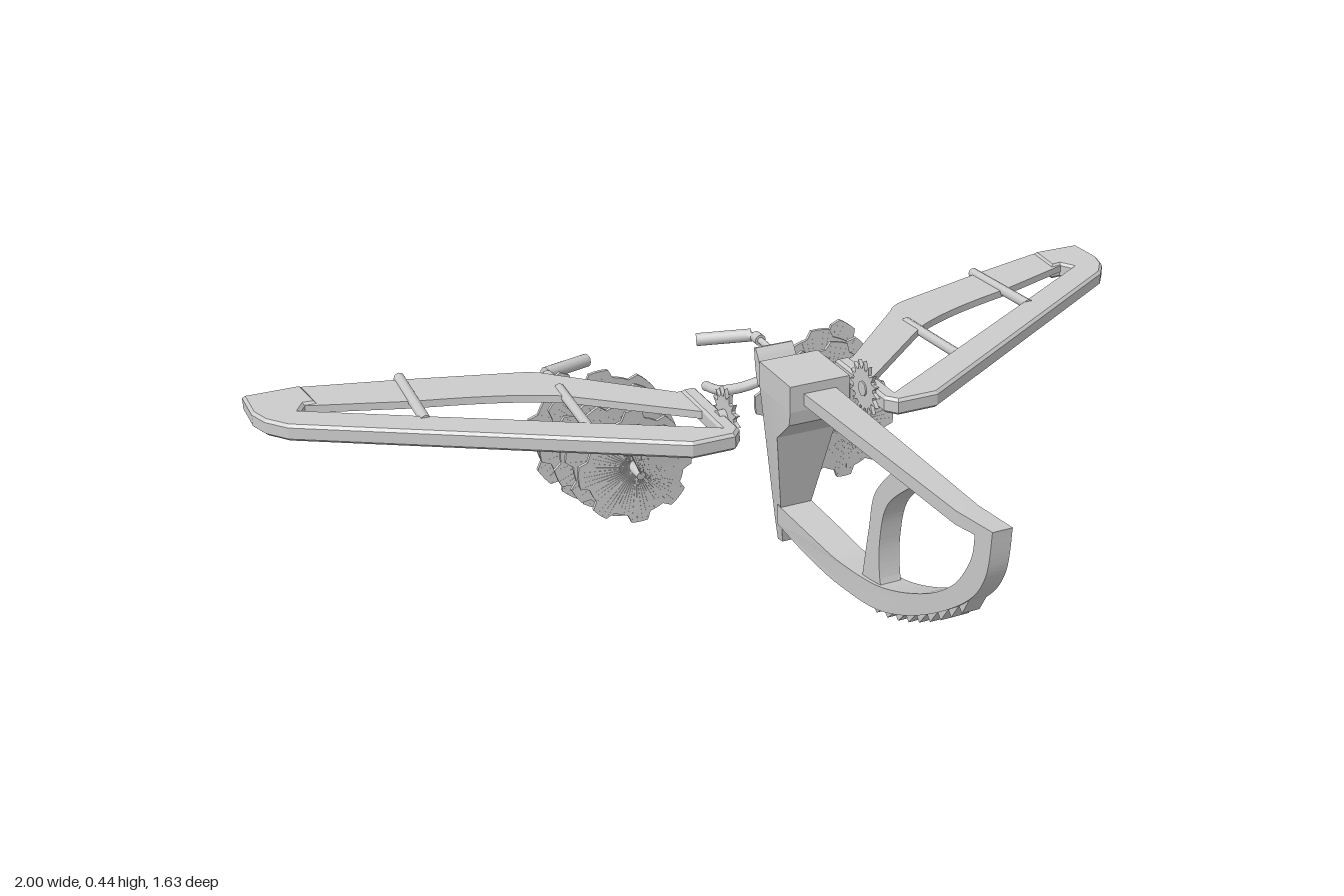
import * as THREE from 'three';
import { toCreasedNormals } from 'three/addons/utils/BufferGeometryUtils.js';

const grey = new THREE.MeshStandardMaterial({ color: 0xcccccc, side: THREE.DoubleSide });
const V3 = (x, y, z) => new THREE.Vector3(x, y, z);
const pts = (list) => list.map(([a, b]) => new THREE.Vector2(a, b));

function add(parent, name, geometry, x = 0, y = 0, z = 0) {
  const mesh = new THREE.Mesh(geometry, grey);
  mesh.name = name;
  mesh.position.set(x, y, z);
  parent.add(mesh);
  return mesh;
}

// Profile drawn in (z, y), one unit wide; half(y, z) gives the half width in x
function sideSlab(shape, half) {
  const geo = new THREE.ExtrudeGeometry(shape, { depth: 2, bevelEnabled: false, curveSegments: 28 });
  geo.translate(0, 0, -1).rotateY(-Math.PI / 2);
  const p = geo.attributes.position;
  for (let i = 0; i < p.count; i++) p.setX(i, p.getX(i) * half(p.getY(i), p.getZ(i)));
  return toCreasedNormals(geo, 0.5);
}

// Outline drawn in (x, z), hanging down from y = 0
function flatSlab(shape, depth, bevel = 0) {
  const geo = new THREE.ExtrudeGeometry(shape, {
    depth: depth - 2 * bevel, bevelEnabled: bevel > 0, bevelSize: bevel, bevelOffset: -bevel,
    bevelThickness: bevel, bevelSegments: 1, curveSegments: 16,
  });
  return geo.translate(0, 0, bevel).rotateX(Math.PI / 2);
}

// Cylinder between two points
function rod(parent, name, a, b, r, sides = 14) {
  const mesh = add(parent, name, new THREE.CylinderGeometry(r, r, a.distanceTo(b), sides));
  mesh.position.copy(a).lerp(b, 0.5);
  mesh.quaternion.setFromUnitVectors(V3(0, 1, 0), b.clone().sub(a).normalize());
}

function buildHull() {
  const hull = new THREE.Group();
  hull.name = 'hull';
  const hullHalf = (y, z) => 0.036 - 0.024 * Math.max(0, z - 0.14);

  // Open bow frame: top beam, curved stem and keel in one piece
  const frame = new THREE.Shape();
  frame.moveTo(0.1, 0.425).lineTo(0.7, 0.432).lineTo(0.815, 0.445);
  const outer = pts([[0.8, 0.35], [0.74, 0.27], [0.6, 0.17], [0.45, 0.1], [0.3, 0.075], [0.18, 0.072], [0.02, 0.08]]);
  frame.splineThru(outer);
  frame.lineTo(0.02, 0.125).lineTo(0.2, 0.125);
  frame.splineThru(pts([[0.3, 0.127], [0.45, 0.152], [0.6, 0.215], [0.7, 0.285], [0.752, 0.36], [0.762, 0.415]]));
  frame.lineTo(0.7, 0.405).lineTo(0.1, 0.4);
  add(hull, 'bowFrame', sideSlab(frame, hullHalf));

  // Curved rib inside the frame
  const rib = new THREE.Shape();
  rib.moveTo(0.55, 0.41);
  rib.splineThru(pts([[0.46, 0.33], [0.433, 0.243], [0.437, 0.16], [0.46, 0.12]]));
  rib.lineTo(0.365, 0.12);
  rib.splineThru(pts([[0.389, 0.243], [0.41, 0.33], [0.48, 0.41]]));
  add(hull, 'frameRib', sideSlab(rib, () => 0.022));

  // Overlapping steps along the lower bow
  const curve = new THREE.SplineCurve([new THREE.Vector2(0.81, 0.41), ...outer]);
  for (let i = 0; i < 9; i++) {
    const a = curve.getPointAt(0.16 + i * 0.047), b = curve.getPointAt(0.2 + i * 0.047);
    const step = new THREE.Shape([a, new THREE.Vector2(b.x + 0.006, b.y - 0.014), new THREE.Vector2(b.x - 0.012, b.y + 0.004), b]);
    add(hull, 'bowStep', sideSlab(step, () => 0.018));
  }

  // Head block and tapering stern post
  add(hull, 'headBlock', new THREE.BoxGeometry(0.13, 0.055, 0.14), 0, 0.4175, 0.07);
  const post = new THREE.Shape(pts([[0, 0.392], [0.14, 0.392], [0.135, 0.36], [0.08, 0.31], [0.012, 0.03], [-0.012, 0.025], [-0.008, 0.08]]));
  add(hull, 'sternPost', sideSlab(post, (y) => Math.min(0.065, 0.02 + (y - 0.03) * 0.16)));

  // Upturned catch behind the post
  const hook = new THREE.Shape();
  hook.moveTo(0, 0.375).lineTo(-0.035, 0.378);
  hook.quadraticCurveTo(-0.045, 0.42, -0.068, 0.443).lineTo(-0.074, 0.442);
  hook.quadraticCurveTo(-0.07, 0.385, -0.055, 0.362).lineTo(0, 0.36);
  add(hull, 'rearCatch', sideSlab(hook, (y, z) => (z > -0.03 ? 0.016 : 0.042)));
  return hull;
}

function buildWing() {
  const wing = new THREE.Group();
  wing.name = 'wing';

  // Root, leading spar and tip
  const spar = new THREE.Shape(pts([
    [0.16, -0.105], [0.16, 0.11], [0.18, 0.135], [0.27, 0.135], [0.95, -0.285], [0.985, -0.33], [1, -0.375],
    [1, -0.465], [0.88, -0.465], [0.87, -0.37], [0.895, -0.372], [0.91, -0.345], [0.69, -0.21], [0.41, -0.04], [0.193, 0.093], [0.193, -0.105],
  ]));
  add(wing, 'wingSpar', flatSlab(spar, 0.036, 0.006), 0, 0.367, 0);

  // Thin rear panel
  const panel = new THREE.Shape();
  panel.moveTo(0.185, -0.105).lineTo(0.2, -0.105).lineTo(0.4, -0.3);
  panel.quadraticCurveTo(0.42, -0.328, 0.46, -0.34).lineTo(0.69, -0.412);
  panel.lineTo(0.88, -0.465).lineTo(0.9, -0.372).lineTo(0.69, -0.295);
  panel.quadraticCurveTo(0.5, -0.245, 0.41, -0.185).lineTo(0.185, 0.01);
  add(wing, 'wingPanel', flatSlab(panel, 0.016), 0, 0.362, 0);

  // Cross ribs
  rod(wing, 'wingRib', V3(0.405, 0.356, -0.24), V3(0.418, 0.356, -0.02), 0.011, 8);
  rod(wing, 'wingRib', V3(0.687, 0.36, -0.425), V3(0.697, 0.36, -0.2), 0.012, 8);

  // Toothed pivot disc at the root
  const gear = [];
  for (let i = 0; i < 48; i++) {
    const r = i % 3 === 0 ? 0.06 : 0.042, a = (i / 48) * Math.PI * 2;
    gear.push([Math.cos(a) * r, Math.sin(a) * r]);
  }
  add(wing, 'pivotGear', sideSlab(new THREE.Shape(pts(gear)), () => 0.004), 0.155, 0.358, 0.037);
  rod(wing, 'pivotPin', V3(0.148, 0.358, 0.037), V3(0.175, 0.358, 0.037), 0.016);
  return wing;
}

// Toothed screw blade: a thin rectangle swept along a widening helix
function screwGeometry() {
  const turns = 5, perTurn = 64, n = turns * perTurn, pos = [], index = [];
  for (let i = 0; i <= n; i++) {
    const t = i / n, a = t * turns * Math.PI * 2 + 1.2;
    const tooth = ((i / perTurn) * 7.7) % 1 < 0.5 ? 0.018 : 0;
    const rim = 0.1 + 0.042 * t + tooth;
    const cx = 0.248 + 0.018 * t, cy = 0.138 + 0.023 * t, z = -0.2 - 0.23 * t;
    for (const [r, dz] of [[0.006, 0.004], [rim, 0.004], [rim, -0.004], [0.006, -0.004]]) {
      pos.push(cx + Math.cos(a) * r, cy + Math.sin(a) * r, z + dz);
    }
  }
  for (let i = 0; i < n; i++) {
    for (let k = 0; k < 4; k++) {
      const a = i * 4 + k, b = i * 4 + ((k + 1) % 4);
      index.push(a, b, a + 4, b, b + 4, a + 4);
    }
  }
  index.push(0, 2, 1, 0, 3, 2, n * 4, n * 4 + 1, n * 4 + 2, n * 4, n * 4 + 2, n * 4 + 3);
  const geo = new THREE.BufferGeometry();
  geo.setAttribute('position', new THREE.Float32BufferAttribute(pos, 3));
  geo.setIndex(index);
  return toCreasedNormals(geo, 0.6);
}

function buildScrew() {
  const screw = new THREE.Group();
  screw.name = 'screw';
  const x = 0.267, y = 0.161;
  add(screw, 'screwBlade', screwGeometry());

  // Shaft, collars and angled grip
  rod(screw, 'screwCore', V3(0.248, 0.138, -0.2), V3(x, y, -0.43), 0.01);
  rod(screw, 'shaft', V3(x, y, -0.41), V3(x, y, -0.74), 0.008);
  for (const [z, half, r] of [[-0.432, 0.022, 0.014], [-0.578, 0.01, 0.014], [-0.715, 0.014, 0.014]]) {
    rod(screw, 'shaftCollar', V3(x, y, z - half), V3(x, y, z + half), r);
  }
  rod(screw, 'gripNeck', V3(x, y, -0.73), V3(0.245, 0.157, -0.757), 0.01);
  rod(screw, 'handGrip', V3(0.265, 0.158, -0.748), V3(0.143, 0.147, -0.804), 0.016);

  // Curved lever below the grip
  const path = new THREE.CatmullRomCurve3([V3(x, 0.155, -0.578), V3(0.235, 0.118, -0.59), V3(0.185, 0.088, -0.62), V3(0.145, 0.066, -0.67), V3(0.137, 0.052, -0.735)]);
  add(screw, 'lever', new THREE.TubeGeometry(path, 24, 0.0125, 8, false));
  const end = new THREE.SphereGeometry(0.0125, 10, 8);
  add(screw, 'leverTip', end, 0.137, 0.052, -0.735);
  return screw;
}

export function createModel() {
  const model = new THREE.Group();
  model.name = 'wingedGlider';
  model.add(buildHull());

  // Left and right sets
  for (const side of [1, -1]) {
    const set = new THREE.Group();
    set.name = side > 0 ? 'leftSide' : 'rightSide';
    set.add(buildWing(), buildScrew());
    set.scale.x = side;
    model.add(set);
  }
  return model;
}
